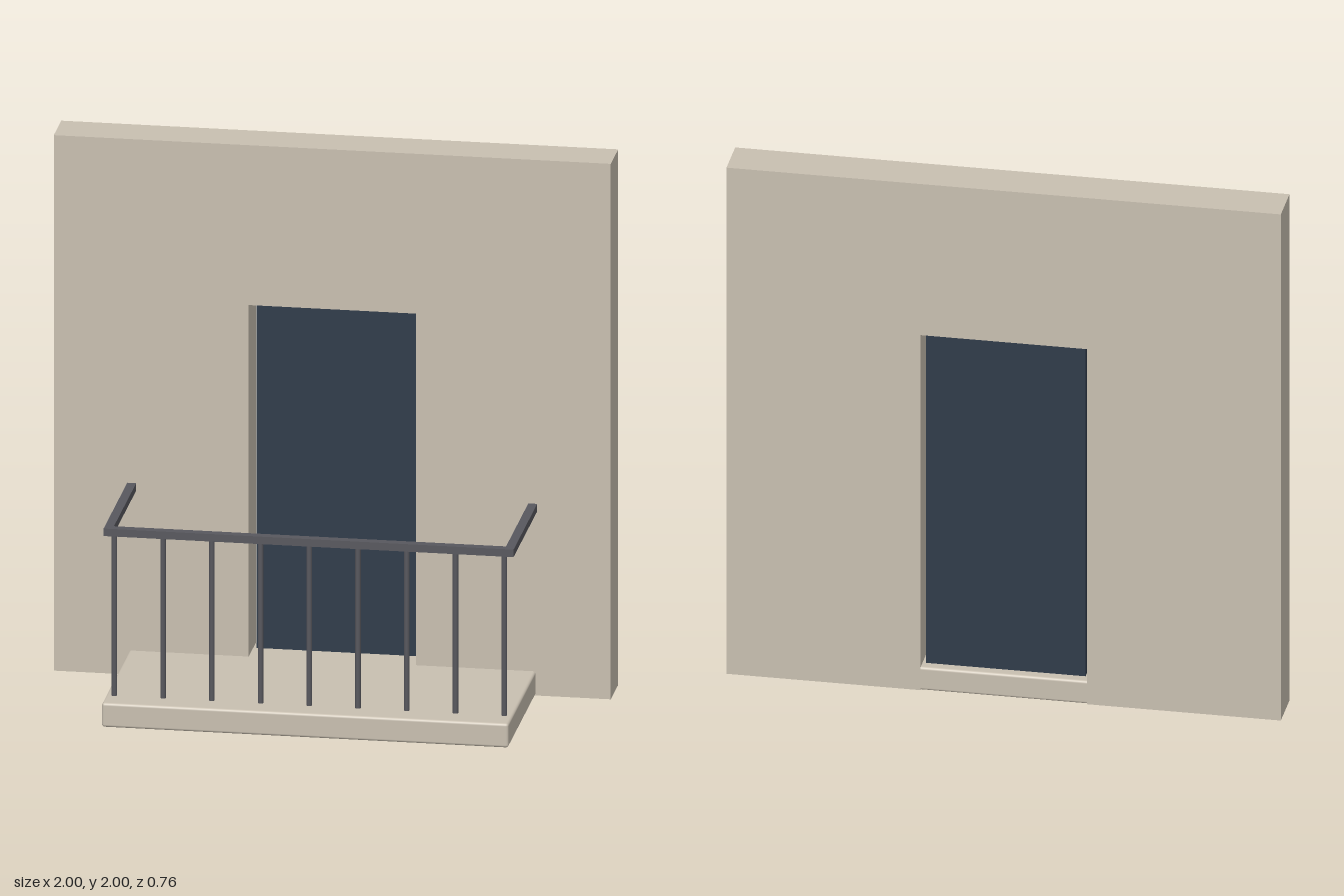
import * as THREE from 'three';
import { RoundedBoxGeometry } from 'three/addons/geometries/RoundedBoxGeometry.js';

const plaster = new THREE.MeshStandardMaterial({ color: 0xc8bfb0 });
const glass = new THREE.MeshStandardMaterial({ color: 0x2f3b4a });
const iron = new THREE.MeshStandardMaterial({ color: 0x58585e });

const WALL_BACK = -0.384, WALL_FRONT = -0.219;
const SLAB_FRONT = 0.381, SLAB_TOP = 0.09;
const RAIL_Y = 0.702, RAIL_Z = 0.286, RAIL_W = 0.032, RAIL_H = 0.028, RAIL_HALF = 0.736;

function add(parent, name, geometry, material, x = 0, y = 0, z = 0) {
  const mesh = new THREE.Mesh(geometry, material);
  mesh.name = name;
  mesh.position.set(x, y, z);
  parent.add(mesh);
  return mesh;
}

export function createModel() {
  const model = new THREE.Group();
  model.name = 'balcony';

  // Wall with a doorway cut down to the ground
  const outline = new THREE.Shape([
    [-1, 0], [-0.3, 0], [-0.3, 1.403], [0.3, 1.403], [0.3, 0], [1, 0], [1, 2], [-1, 2],
  ].map(([x, y]) => new THREE.Vector2(x, y)));
  const wall = new THREE.ExtrudeGeometry(outline, { depth: WALL_FRONT - WALL_BACK, bevelEnabled: false });
  add(model, 'wall', wall, plaster, 0, 0, WALL_BACK);

  // Floor slab runs through the doorway and forms its sill
  const depth = SLAB_FRONT - WALL_BACK;
  add(model, 'floorSlab', new RoundedBoxGeometry(1.46, SLAB_TOP, depth, 3, 0.01), plaster,
    0, SLAB_TOP / 2, (SLAB_FRONT + WALL_BACK) / 2);

  // Door panel, with a narrow gap at the sides and top
  const doorHeight = 1.391 - SLAB_TOP;
  add(model, 'doorPanel', new THREE.BoxGeometry(0.576, doorHeight, 0.025), glass,
    0, SLAB_TOP + doorHeight / 2, -0.332);

  // Railing: front rail, two side rails back to the wall, nine balusters
  const railing = new THREE.Group();
  railing.name = 'railing';
  model.add(railing);
  add(railing, 'frontRail', new THREE.BoxGeometry(RAIL_HALF * 2, RAIL_H, RAIL_W), iron, 0, RAIL_Y, RAIL_Z);

  const railBack = RAIL_Z - RAIL_W / 2;
  const sideRail = new THREE.BoxGeometry(RAIL_W, RAIL_H, railBack - WALL_FRONT);
  for (const [name, side] of [['leftRail', 1], ['rightRail', -1]]) {
    add(railing, name, sideRail, iron, side * (RAIL_HALF - RAIL_W / 2), RAIL_Y, (railBack + WALL_FRONT) / 2);
  }

  const bottom = SLAB_TOP - 0.005, top = RAIL_Y - RAIL_H / 2 + 0.005;
  const baluster = new THREE.CylinderGeometry(0.01, 0.01, top - bottom, 10);
  for (let i = 0; i < 9; i++) {
    add(railing, 'baluster', baluster, iron, -0.7 + i * 0.175, (top + bottom) / 2, RAIL_Z);
  }
  return model;
}
